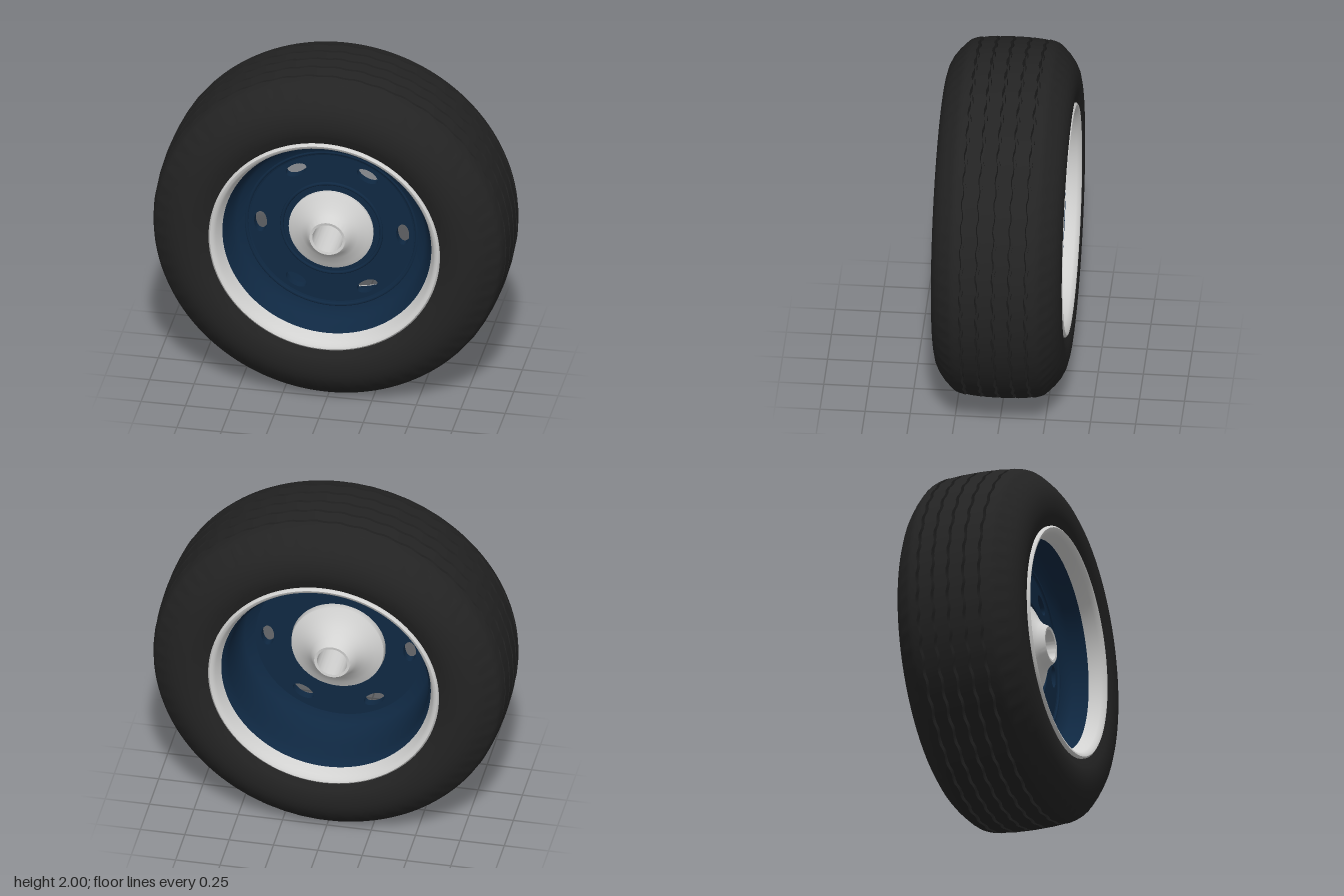
import * as THREE from 'three';
import { toCreasedNormals } from 'three/addons/utils/BufferGeometryUtils.js';

const mat = (name, color, side = THREE.FrontSide) => {
  const m = new THREE.MeshStandardMaterial({ color, side });
  m.name = name;
  return m;
};

// Spin a profile of [radius, z] points around the wheel axis
function spin(profile, segments) {
  const g = new THREE.LatheGeometry(profile.map(([r, z]) => new THREE.Vector2(r, z)), segments);
  return g.rotateX(Math.PI / 2);
}

export function createModel() {
  const rubber = mat('black rubber', 0x232323);
  const blue = mat('dark blue paint', 0x0f2842, THREE.DoubleSide);
  const silver = mat('light grey metal', 0xd2d2d1);

  const model = new THREE.Group();
  model.name = 'wheel';
  const axis = new THREE.Group();
  axis.name = 'wheelAssembly';
  axis.position.y = 1;
  model.add(axis);
  const add = (name, geometry, material) => {
    const mesh = new THREE.Mesh(geometry, material);
    mesh.name = name;
    axis.add(mesh);
    return mesh;
  };

  // Tyre: mirrored sidewalls with a five-grooved tread between them
  const wall = [[0.6, 0.26], [0.635, 0.325], [0.66, 0.343], [0.7, 0.353], [0.71, 0.358], [0.76, 0.362],
    [0.8, 0.36], [0.84, 0.35], [0.88, 0.33], [0.92, 0.3], [0.95, 0.27], [0.965, 0.255], [0.975, 0.24]];
  const tread = [];
  for (const z of [-0.18, -0.09, 0, 0.09, 0.18]) {
    const r = 1 - 0.3 * z * z;
    tread.push([r, z - 0.009], [r - 0.045, z - 0.007], [r - 0.045, z + 0.007], [r, z + 0.009]);
  }
  const profile = [
    ...wall.map(([r, z]) => [r, -z]), [0.983, -0.22], ...tread, [0.983, 0.22],
    ...[...wall].reverse(), [0.6, -0.26],
  ];
  const tyre = spin(profile, 180);
  const p = tyre.attributes.position;
  for (let i = 0; i < p.count; i++) {
    const x = p.getX(i), y = p.getY(i), z = p.getZ(i);
    const r = Math.hypot(x, y);
    const step = Math.round((Math.atan2(y, x) + Math.PI) * 90 / Math.PI) % 180;
    // Wavy groove edges
    if (Math.abs(z) < 0.2) p.setZ(i, z + (step % 4 < 2 ? 0.004 : -0.004));
    // Short sipes around the shoulders
    if (Math.abs(z) > 0.25 && r > 0.91 && step % 3 === 0) {
      p.setX(i, x * (1 - 0.006 / r));
      p.setY(i, y * (1 - 0.006 / r));
    }
  }
  add('tyre', toCreasedNormals(tyre, 0.6), rubber);

  // Rolled rim lips, one on each side
  for (const side of [1, -1]) {
    const lip = [[0.588, 0.265], [0.63, 0.28], [0.65, 0.33], [0.65, 0.348], [0.64, 0.357],
      [0.625, 0.352], [0.612, 0.33], [0.6, 0.3], [0.588, 0.265]];
    const pts = side > 0 ? lip : lip.map(([r, z]) => [r, -z]).reverse();
    add(side > 0 ? 'frontRimLip' : 'backRimLip', toCreasedNormals(spin(pts, 96), 0.9), silver);
  }

  // Rim barrel: a deep well behind the disc and a shallow one in front
  add('rimBarrelBack', spin([[0.592, -0.275], [0.575, -0.25], [0.565, -0.2], [0.56, -0.1],
    [0.55, 0], [0.525, 0.05], [0.47, 0.075]], 96), blue);
  add('rimBarrelFront', spin([[0.46, 0.125], [0.49, 0.135], [0.53, 0.15], [0.555, 0.18],
    [0.572, 0.23], [0.592, 0.272]], 96), blue);

  // Wheel disc with six oval vent holes
  const disc = new THREE.Shape().absarc(0, 0, 0.48, 0, Math.PI * 2, false);
  disc.holes.push(new THREE.Path().absarc(0, 0, 0.2, 0, Math.PI * 2, true));
  for (let i = 0; i < 6; i++) {
    const a = i * Math.PI / 3;
    disc.holes.push(new THREE.Path().absellipse(0.4 * Math.cos(a), 0.4 * Math.sin(a),
      0.036, 0.064, 0, Math.PI * 2, true, a));
  }
  const plate = new THREE.ExtrudeGeometry(disc, { depth: 0.05, bevelEnabled: false, curveSegments: 32 });
  add('wheelDisc', plate.translate(0, 0, 0.075), blue);

  // Pressed ridges on the face of the disc
  for (const [r, t] of [[0.48, 0.012], [0.28, 0.01]]) {
    add('discRidge', new THREE.TorusGeometry(r, t, 8, 80).translate(0, 0, 0.125), blue);
  }

  // Hub: flared cones to front and back with an open bore
  const hub = [[0.085, -0.11], [0.1, -0.112], [0.11, -0.1], [0.13, -0.06], [0.17, -0.015], [0.22, 0.02],
    [0.26, 0.04], [0.265, 0.075], [0.235, 0.12], [0.238, 0.145], [0.21, 0.16], [0.16, 0.185], [0.125, 0.215],
    [0.108, 0.245], [0.1, 0.253], [0.085, 0.25], [0.085, -0.11]];
  add('hub', toCreasedNormals(spin(hub, 64), 0.8), silver);

  return model;
}
